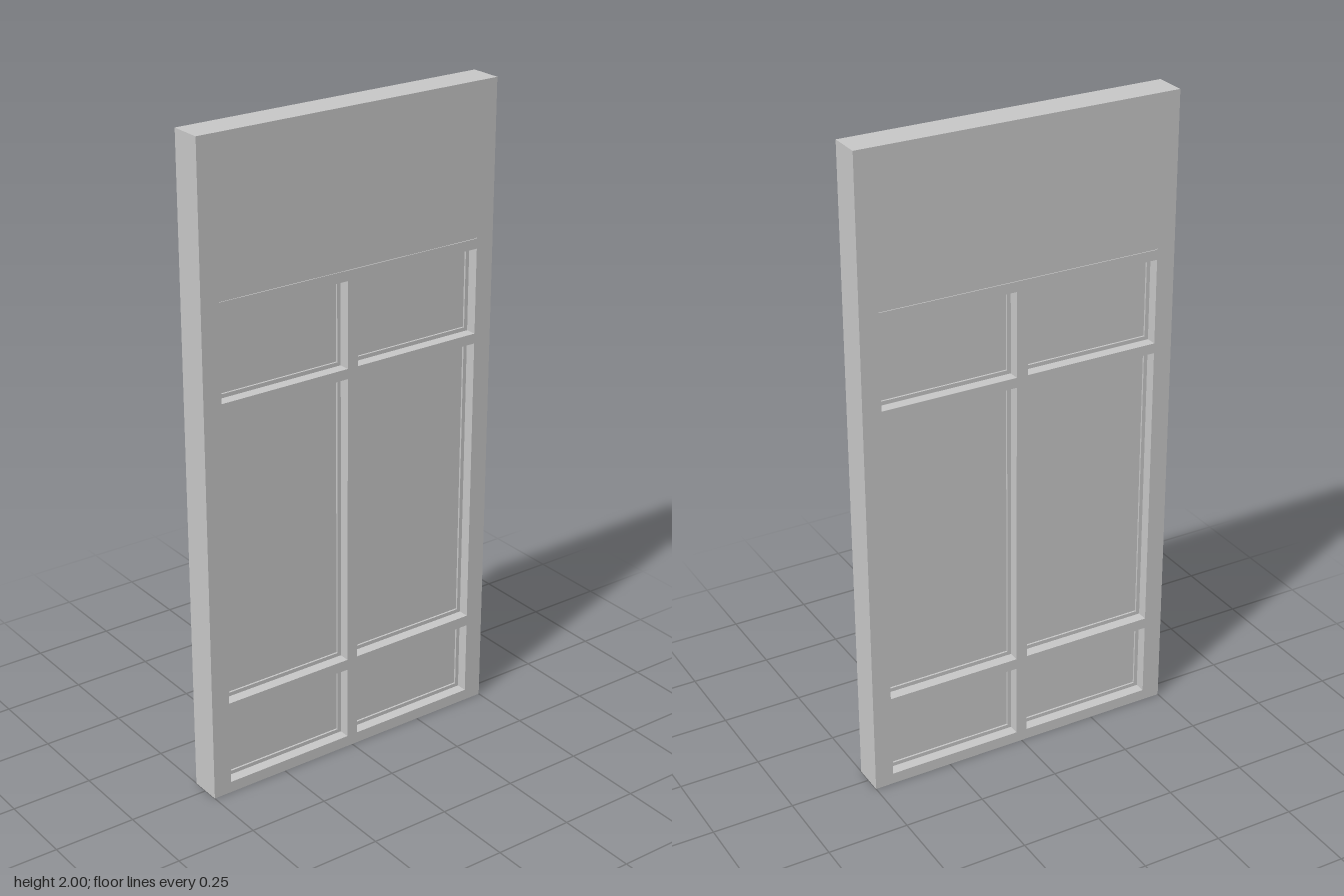
import * as THREE from 'three';

const W = 1, H = 2, T = 0.1;          // wall panel size
const X0 = 0.018, X1 = 0.442;         // inner and outer edge of each window column
const ROWS = [[0.035, 0.268], [0.302, 1.212], [1.243, 1.505]];
const SASH = 0.012;                   // width of the stepped sash border

function rect(path, x0, y0, x1, y1) {
  path.moveTo(x0, y0);
  path.lineTo(x1, y0);
  path.lineTo(x1, y1);
  path.lineTo(x0, y1);
  path.closePath();
  return path;
}

// Plate with rectangular holes, centred on z = 0
function plate(outer, holes, depth) {
  const shape = rect(new THREE.Shape(), ...outer);
  for (const h of holes) shape.holes.push(rect(new THREE.Path(), ...h));
  const geo = new THREE.ExtrudeGeometry(shape, { depth, bevelEnabled: false });
  return geo.translate(0, 0, -depth / 2);
}

export function createModel() {
  const group = new THREE.Group();
  const grey = new THREE.MeshStandardMaterial({ color: 0xc8c8c8 });
  grey.name = 'light grey';

  const add = (name, geo) => {
    const mesh = new THREE.Mesh(geo, grey);
    mesh.name = name;
    group.add(mesh);
  };

  // Six window openings in two columns
  const openings = [];
  for (const [y0, y1] of ROWS) {
    openings.push([-X1, y0, -X0, y1], [X0, y0, X1, y1]);
  }

  // Wall with the openings and the narrow, shallow joint above them
  const joint = [-X1, 1.536, X1, 1.541];
  add('wall', plate([-W / 2, 0, W / 2, H], [...openings, joint], T));
  add('jointBacking', plate(joint, [], 0.094));

  // Recessed sash border and pane in every opening
  for (const [x0, y0, x1, y1] of openings) {
    const inner = [x0 + SASH, y0 + SASH, x1 - SASH, y1 - SASH];
    add('sash', plate([x0, y0, x1, y1], [inner], 0.032));
    add('pane', plate(inner, [], 0.02));
  }
  return group;
}
